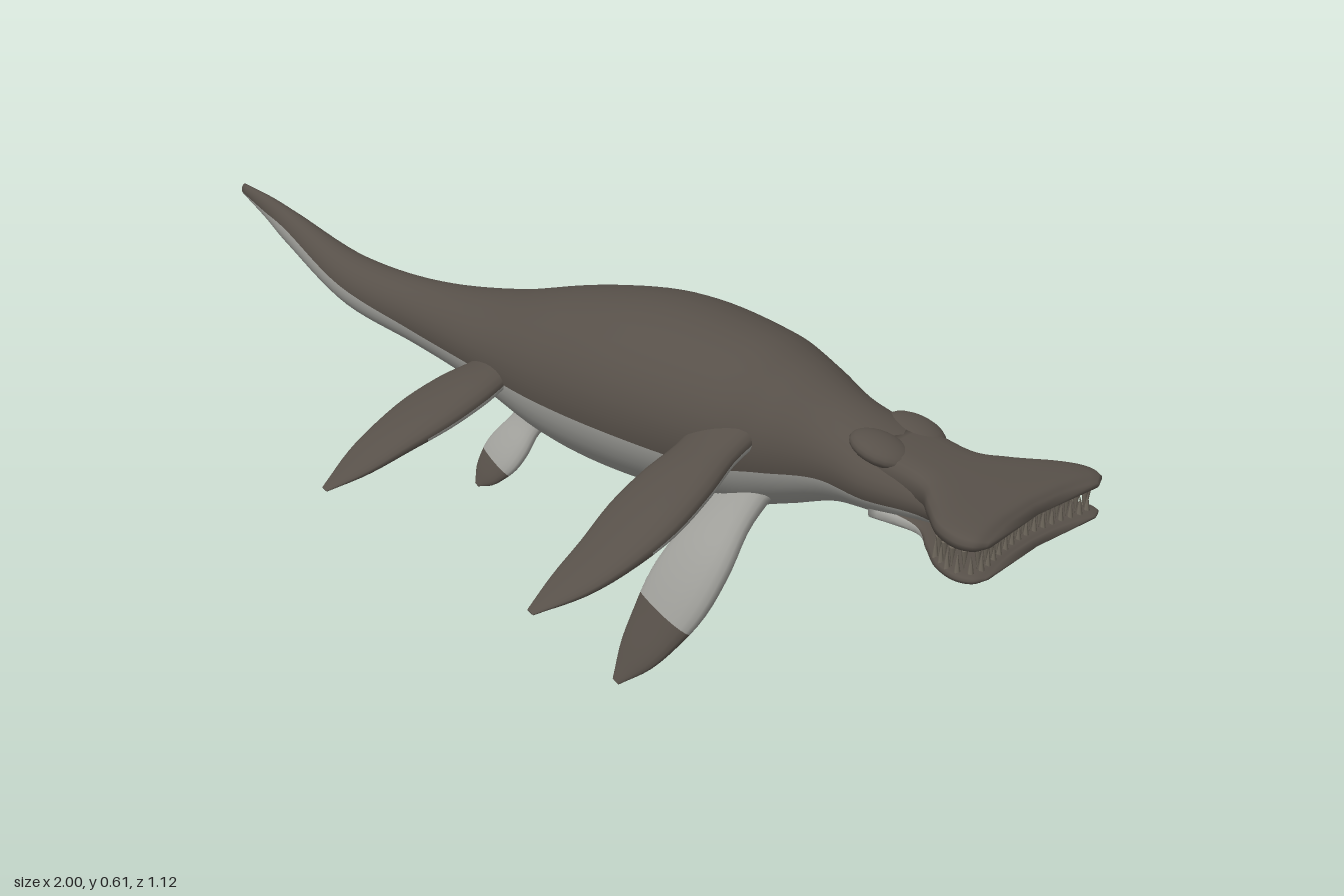
import * as THREE from 'three';

const hide = new THREE.MeshStandardMaterial({ color: 0x575049 });
hide.name = 'dark hide';
const belly = new THREE.MeshStandardMaterial({ color: 0xa0a09b });
belly.name = 'pale belly';
const ivory = new THREE.MeshStandardMaterial({ color: 0x6e675c });
ivory.name = 'dull ivory';

const V = (a) => new THREE.Vector3(...a);
const curve = (points) => new THREE.CatmullRomCurve3(points.map(V), false, 'catmullrom', 0.5);

// Skin over closed rings; pale(i, j) picks the belly colour for a quad
function loft(name, rings, pale) {
  const n = rings[0].length;
  const pos = rings.flat();
  const sets = [[], []];
  const add = (s, a, b, c) => sets[s].push(a, b, c);
  for (let i = 0; i < rings.length - 1; i++) {
    for (let j = 0; j < n; j++) {
      const a = i * n + j, b = i * n + (j + 1) % n;
      const s = pale(i, j) ? 1 : 0;
      add(s, a, b, b + n);
      add(s, a, b + n, a + n);
    }
  }
  // End caps
  [0, rings.length - 1].forEach((i, end) => {
    const mid = new THREE.Vector3();
    rings[i].forEach((p) => mid.addScaledVector(p, 1 / n));
    const c = pos.push(mid) - 1;
    for (let j = 0; j < n; j++) {
      const a = i * n + j, b = i * n + (j + 1) % n;
      const s = pale(Math.min(i, rings.length - 2), j) ? 1 : 0;
      if (end) add(s, a, b, c); else add(s, b, a, c);
    }
  });
  // Turn faces outward
  let volume = 0;
  const cross = new THREE.Vector3();
  sets.forEach((s) => {
    for (let k = 0; k < s.length; k += 3) {
      volume += pos[s[k]].dot(cross.crossVectors(pos[s[k + 1]], pos[s[k + 2]]));
    }
  });
  if (volume < 0) sets.forEach((s) => s.reverse());
  const geo = new THREE.BufferGeometry().setFromPoints(pos);
  geo.setIndex([...sets[0], ...sets[1]]);
  geo.addGroup(0, sets[0].length, 0);
  geo.addGroup(sets[0].length, sets[1].length, 1);
  geo.computeVertexNormals();
  const mesh = new THREE.Mesh(geo, [hide, belly]);
  mesh.name = name;
  return mesh;
}

// Trunk-like part along x; stations: x, top, bottom, centre z, half width, colour line y
function trunk(name, stations, steps, power = 1, notch = 0) {
  const A = curve(stations.map((s) => s.slice(0, 3)));
  const B = curve(stations.map((s) => s.slice(3)));
  const N = 18, rings = [];
  const shape = (v) => Math.sign(v) * Math.abs(v) ** power;
  for (let i = 0; i <= steps; i++) {
    const { x, y: top, z: bottom } = A.getPoint(i / steps);
    const { x: zc, y: w, z: line } = B.getPoint(i / steps);
    const h = (top - bottom) / 2, yc = (top + bottom) / 2;
    const k = THREE.MathUtils.clamp((line - yc) / h, -0.95, 0.95);
    const a = Math.asin(Math.sign(k) * Math.abs(k) ** (1 / power));
    const ring = [];
    for (let j = 0; j < 2 * N; j++) {
      const t = j < N ? a + (Math.PI - 2 * a) * j / N
        : Math.PI - a + (Math.PI + 2 * a) * (j - N) / N;
      const u = shape(Math.cos(t));
      const back = notch * (1 - u * u) * THREE.MathUtils.smoothstep(x, 0.85, 0.98);
      ring.push(new THREE.Vector3(x - back, yc + h * shape(Math.sin(t)), zc + w * u));
    }
    rings.push(ring);
  }
  return loft(name, rings, (i, j) => j >= N);
}

// Paddle along a path; pale near the root on the underside, or all round when low
function flipper(name, path, chord, low) {
  const C = curve(path), M = 20, S = 22, rings = [];
  const outline = curve([[0, 0.9, 0], [0.2, 0.8, 0], [0.4, 0.96, 0], [0.6, 1, 0],
    [0.8, 0.82, 0], [0.93, 0.56, 0], [1, 0.12, 0]]);
  for (let i = 0; i <= S; i++) {
    const u = i / S, p = C.getPoint(u), T = C.getTangent(u);
    const X = new THREE.Vector3(1, 0, 0).addScaledVector(T, -T.x).normalize();
    const Y = new THREE.Vector3().crossVectors(T, X).normalize();
    if (Y.y < 0) Y.negate();
    const w = chord / 2 * outline.getPoint(u).y;
    const thick = w * THREE.MathUtils.lerp(0.42, 0.2, u);
    const ring = [];
    for (let j = 0; j < M; j++) {
      const a = j / M * Math.PI * 2, c = Math.cos(a);
      ring.push(p.clone().addScaledVector(X, w * c)
        .addScaledVector(Y, thick * Math.sin(a) * (1 + 0.3 * c)));
    }
    rings.push(ring);
  }
  return loft(name, rings, (i, j) => i < S * 0.58 && (low || j >= M / 2));
}

export function createModel() {
  const model = new THREE.Group();
  model.name = 'marineReptile';

  // Body from tail tip to the back of the mouth
  model.add(trunk('body', [
    [-1, 0.546, 0.524, -0.1, 0.008, 0.53],
    [-0.9, 0.545, 0.497, -0.075, 0.018, 0.52],
    [-0.8, 0.537, 0.465, -0.05, 0.028, 0.51],
    [-0.6, 0.502, 0.4, -0.02, 0.05, 0.455],
    [-0.4, 0.495, 0.365, -0.02, 0.068, 0.42],
    [-0.2, 0.522, 0.335, -0.02, 0.118, 0.415],
    [0, 0.575, 0.28, -0.025, 0.172, 0.41],
    [0.2, 0.605, 0.264, -0.025, 0.195, 0.405],
    [0.4, 0.59, 0.275, -0.02, 0.172, 0.39],
    [0.5, 0.56, 0.3, -0.02, 0.14, 0.395],
    [0.6, 0.518, 0.332, -0.02, 0.102, 0.4],
    [0.7, 0.485, 0.342, -0.02, 0.104, 0.39],
    [0.8, 0.455, 0.35, -0.02, 0.085, 0.385],
    [0.87, 0.435, 0.358, -0.02, 0.085, 0.362],
  ], 90));

  // Broad hammer-shaped jaws
  model.add(trunk('upperJaw', [
    [0.7, 0.484, 0.4, -0.02, 0.085, 0.4],
    [0.8, 0.462, 0.396, -0.02, 0.085, 0.396],
    [0.85, 0.452, 0.396, -0.02, 0.127, 0.396],
    [0.9, 0.445, 0.397, -0.02, 0.175, 0.397],
    [0.95, 0.442, 0.397, -0.02, 0.198, 0.397],
    [0.985, 0.437, 0.4, -0.02, 0.193, 0.4],
    [1, 0.425, 0.408, -0.02, 0.165, 0.408],
  ], 36, 0.65, 0.025));
  model.add(trunk('lowerJaw', [
    [0.7, 0.38, 0.342, -0.02, 0.08, 0.375],
    [0.8, 0.375, 0.343, -0.02, 0.083, 0.365],
    [0.85, 0.371, 0.343, -0.02, 0.125, 0.352],
    [0.9, 0.37, 0.343, -0.02, 0.172, 0.349],
    [0.95, 0.37, 0.343, -0.02, 0.195, 0.349],
    [0.985, 0.368, 0.346, -0.02, 0.19, 0.351],
    [0.998, 0.362, 0.352, -0.02, 0.163, 0.355],
  ], 36, 0.65, 0.025));

  // Teeth along the front rim and round the mouth corners
  const rim = curve([[0.89, 0, -0.155], [0.94, 0, -0.182], [0.978, 0, -0.165], [0.967, 0, -0.08],
    [0.96, 0, 0], [0.967, 0, 0.08], [0.978, 0, 0.165], [0.94, 0, 0.182], [0.89, 0, 0.155]]);
  const teeth = new THREE.Group();
  teeth.name = 'teeth';
  const cone = new THREE.ConeGeometry(0.006, 0.036, 6);
  for (let i = 0; i < 48; i++) {
    const tooth = new THREE.Mesh(cone, ivory);
    const p = rim.getPointAt(i / 47), upper = i % 2 === 0;
    tooth.name = upper ? 'upperTooth' : 'lowerTooth';
    tooth.position.set(p.x, upper ? 0.386 : 0.379, p.z - 0.02);
    if (upper) tooth.rotation.x = Math.PI;
    teeth.add(tooth);
  }
  model.add(teeth);

  // Raised brow plates on the skull
  for (const side of [-1, 1]) {
    const brow = new THREE.Mesh(new THREE.SphereGeometry(1, 20, 12), hide);
    brow.name = side > 0 ? 'leftBrow' : 'rightBrow';
    brow.scale.set(0.06, 0.022, 0.045);
    brow.position.set(0.7, 0.468, -0.02 + side * 0.05);
    brow.rotation.z = -0.25;
    model.add(brow);
  }

  // Flippers: name, path, chord, low
  const flippers = [
    ['frontFlipperNear', [[0.43, 0.46, 0.08], [0.435, 0.4, 0.25], [0.425, 0.325, 0.42], [0.375, 0.25, 0.555]], 0.155, false],
    ['frontFlipperFar', [[0.43, 0.4, -0.1], [0.43, 0.315, -0.26], [0.415, 0.22, -0.43], [0.385, 0.148, -0.558]], 0.155, false],
    ['frontLowerFlipper', [[0.44, 0.35, 0.06], [0.42, 0.23, 0.16], [0.375, 0.1, 0.23], [0.33, 0, 0.282]], 0.145, true],
    ['rearFlipperNear', [[-0.12, 0.43, 0.04], [-0.135, 0.4, 0.17], [-0.165, 0.345, 0.33], [-0.21, 0.272, 0.457]], 0.14, false],
    ['rearFlipperFar', [[-0.12, 0.45, -0.08], [-0.14, 0.405, -0.22], [-0.17, 0.34, -0.37], [-0.215, 0.272, -0.502]], 0.14, false],
    ['rearLowerFlipperNear', [[-0.07, 0.34, 0.04], [-0.095, 0.28, 0.08], [-0.12, 0.23, 0.112], [-0.14, 0.195, 0.132]], 0.095, true],
    ['rearLowerFlipperFar', [[-0.07, 0.34, -0.08], [-0.095, 0.28, -0.12], [-0.12, 0.23, -0.152], [-0.14, 0.195, -0.172]], 0.095, true],
  ];
  flippers.forEach((f) => model.add(flipper(...f)));
  return model;
}
